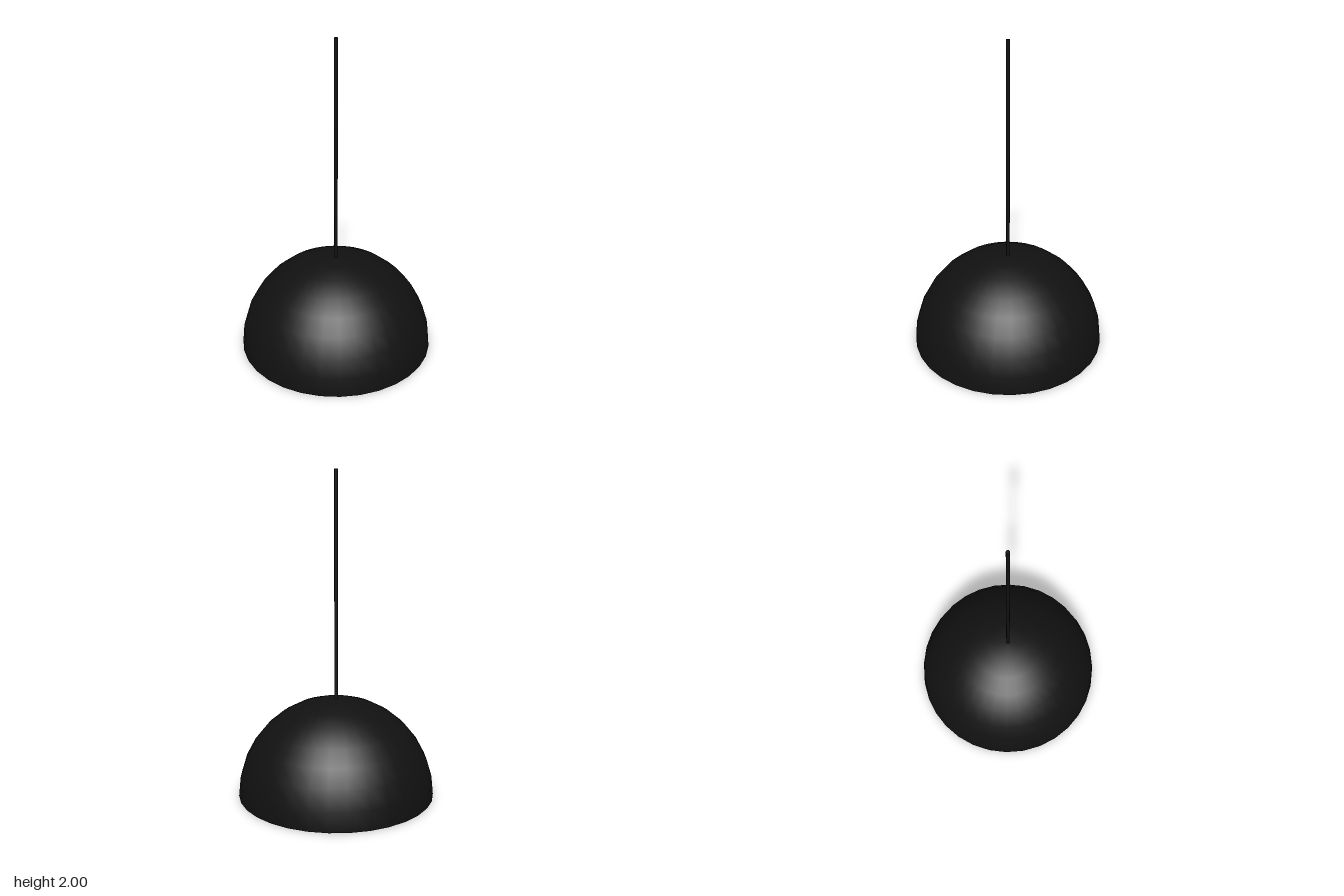
import * as THREE from 'three';

const R = 0.61;        // shade radius
const WALL = 0.008;    // shade thickness
const SIDES = 32;

function part(group, name, geometry, color, side = THREE.FrontSide) {
  const mesh = new THREE.Mesh(geometry, new THREE.MeshStandardMaterial({ color, side }));
  mesh.name = name;
  group.add(mesh);
  return mesh;
}

const dome = (radius) =>
  new THREE.SphereGeometry(radius, SIDES, 8, 0, Math.PI * 2, 0, Math.PI / 2);

export function createModel() {
  const lamp = new THREE.Group();
  lamp.name = 'pendantLamp';

  // Half-sphere shade: dark outside, pale yellow lining, thin rim joining them
  part(lamp, 'shadeOuter', dome(R), 0x111111);
  part(lamp, 'shadeLining', dome(R - WALL), 0xc8c070, THREE.BackSide);
  const rim = part(lamp, 'shadeRim', new THREE.RingGeometry(R - WALL, R, SIDES), 0x111111);
  rim.rotation.x = Math.PI / 2;

  // Hanging cord, running through the shade to the bulb
  const cordBottom = 0.53;
  const cord = part(lamp, 'cord', new THREE.CylinderGeometry(0.011, 0.011, 2 - cordBottom, 12), 0x111111);
  cord.position.y = (2 + cordBottom) / 2;

  // Bulb under the crown of the shade
  const bulb = part(lamp, 'bulb', new THREE.SphereGeometry(0.12, 10, 8), 0xcccccc);
  bulb.position.y = 0.425;

  return lamp;
}
